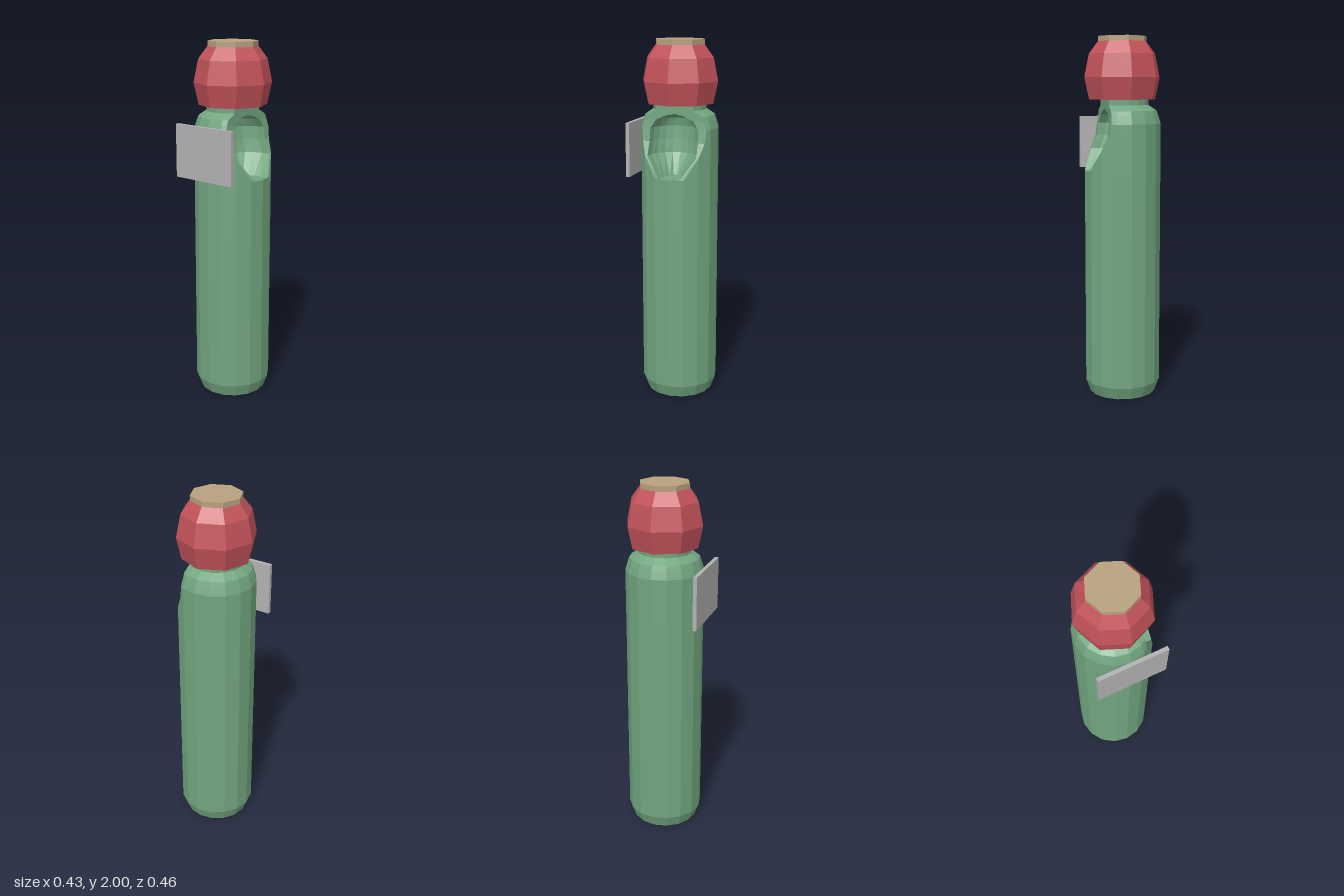
import * as THREE from 'three';

const flat = (name, color) => {
  const m = new THREE.MeshStandardMaterial({ color, flatShading: true });
  m.name = name;
  return m;
};

const SIDES = 16;
const POCKET = 10;

// point on a regular polygon outline at a given angle
function polygonPoint(r, a) {
  const step = (Math.PI * 2) / SIDES;
  const local = (((a % step) + step) % step) - step / 2;
  const d = (r * Math.cos(step / 2)) / Math.cos(local);
  return [d * Math.cos(a), d * Math.sin(a)];
}

// angle at which the outline meets the plane x = cut
function cutAngle(r, cut) {
  if (cut >= r) return 0;
  let lo = 0, hi = Math.PI / 2;
  for (let i = 0; i < 40; i++) {
    const mid = (lo + hi) / 2;
    if (polygonPoint(r, mid)[0] > cut) lo = mid; else hi = mid;
  }
  return hi;
}

// one cross-section: outer wall, flat lip at x = cut, then the hollow
function ring({ y, r, cut = r, half = 0, depth = 0 }) {
  const pts = [];
  const a0 = cutAngle(r, cut);
  for (let i = 0; i <= SIDES; i++) {
    const a = THREE.MathUtils.clamp((i / SIDES) * Math.PI * 2, a0, Math.PI * 2 - a0);
    const [x, z] = polygonPoint(r, a);
    pts.push(new THREE.Vector3(x, y, z));
  }
  for (let j = 0; j <= POCKET; j++) {
    const t = (j / POCKET) * Math.PI;
    pts.push(new THREE.Vector3(cut - depth * Math.sin(t), y, -half * Math.cos(t)));
  }
  return pts;
}

function bodyGeometry(sections) {
  const rings = sections.map(ring);
  const out = [];
  const tri = (a, b, c) => {
    const area = b.clone().sub(a).cross(c.clone().sub(a)).length();
    if (area > 1e-7) for (const p of [a, b, c]) out.push(p.x, p.y, p.z);
  };
  for (let k = 0; k < rings.length - 1; k++) {
    const lo = rings[k], up = rings[k + 1], n = lo.length;
    for (let i = 0; i < n; i++) {
      const j = (i + 1) % n;
      tri(lo[i], up[i], lo[j]);
      tri(lo[j], up[i], up[j]);
    }
  }
  // underside
  const base = rings[0], centre = new THREE.Vector3(0, base[0].y, 0);
  for (let i = 0; i < SIDES; i++) tri(centre, base[i], base[i + 1]);
  const g = new THREE.BufferGeometry();
  g.setAttribute('position', new THREE.Float32BufferAttribute(out, 3));
  g.computeVertexNormals();
  return g;
}

export function createModel() {
  const green = flat('green', 0x72a680);
  const red = flat('red', 0xc2525a);
  const tan = flat('tan', 0xb8a17e);
  const grey = flat('grey', 0xb2b2b2);
  const model = new THREE.Group();
  const add = (name, geometry, material, x, y, z) => {
    const mesh = new THREE.Mesh(geometry, material);
    mesh.name = name;
    mesh.position.set(x, y, z);
    model.add(mesh);
  };
  const axisZ = -0.017;

  // body with a hollowed opening on its left side
  const body = bodyGeometry([
    { y: 0, r: 0.187 },
    { y: 0.07, r: 0.213 },
    { y: 1.27, r: 0.213 },
    { y: 1.27, r: 0.213, cut: 0.201, half: 0.06, depth: 0.15 },
    { y: 1.385, r: 0.213, cut: 0.15, half: 0.137, depth: 0.16 },
    { y: 1.46, r: 0.213, cut: 0.115, half: 0.137, depth: 0.135 },
    { y: 1.53, r: 0.213, cut: 0.105, half: 0.135, depth: 0.13 },
    { y: 1.575, r: 0.199, cut: 0.1, half: 0.105, depth: 0.115 },
    { y: 1.6, r: 0.19, cut: 0.1, half: 0.05, depth: 0.07 },
    { y: 1.61, r: 0.175, cut: 0.1 },
    { y: 1.63, r: 0.145, cut: 0.1 },
    { y: 1.7, r: 0.145, cut: 0.1 },
  ]);
  add('body', body, green, 0, 0, axisZ);

  // faceted cap, closed underneath
  const capProfile = [[0, 1.66], [0.187, 1.66], [0.213, 1.78], [0.187, 1.905], [0.137, 1.972]]
    .map(([r, y]) => new THREE.Vector2(r, y));
  add('cap', new THREE.LatheGeometry(capProfile, 8), red, 0, 0, axisZ);

  // stopper on top
  add('stopper', new THREE.CylinderGeometry(0.137, 0.137, 0.04, 8), tan, 0, 1.98, axisZ);

  // front plate
  add('frontPlate', new THREE.BoxGeometry(0.392, 0.293, 0.021), grey, -0.001, 1.417, 0.2175);

  return model;
}
